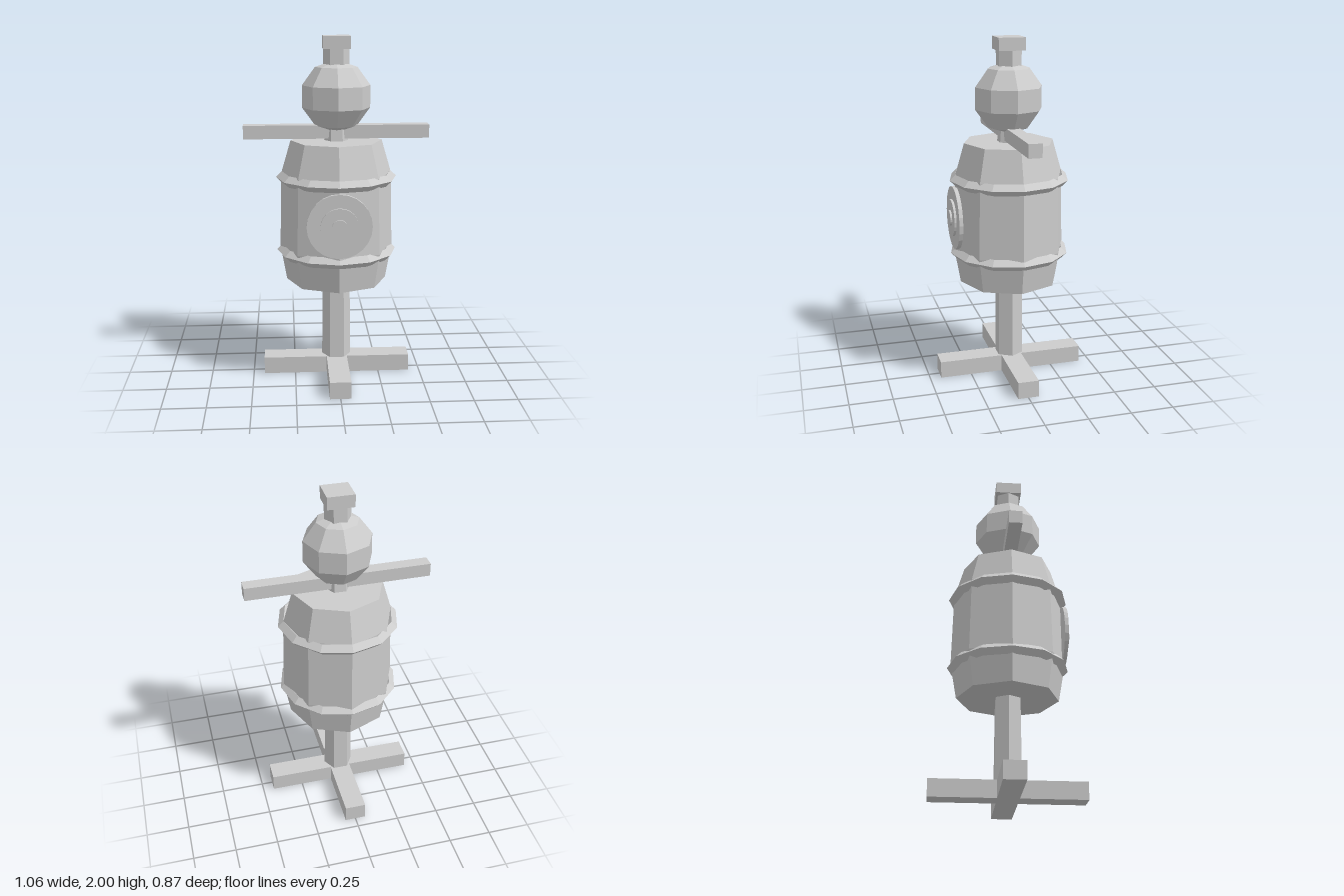
import * as THREE from 'three';

export function createModel() {
  const model = new THREE.Group();
  model.name = 'trainingDummy';
  const grey = new THREE.MeshStandardMaterial({ color: 0xcccccc, flatShading: true });
  grey.name = 'plainGrey';

  const add = (name, geometry, x = 0, y = 0, z = 0) => {
    const mesh = new THREE.Mesh(geometry, grey);
    mesh.name = name;
    mesh.position.set(x, y, z);
    model.add(mesh);
    return mesh;
  };
  // Beam centred on the axis, standing on height y
  const beam = (name, w, h, d, y) => add(name, new THREE.BoxGeometry(w, h, d), 0, y + h / 2, 0);
  // Six-sided post with a corner pointing along x
  const post = (name, rTop, rBottom, y0, y1) => {
    const g = new THREE.CylinderGeometry(rTop, rBottom, y1 - y0, 6).rotateY(Math.PI / 6);
    return add(name, g, 0, (y0 + y1) / 2, 0);
  };

  // Crossed feet and pole
  beam('footBeamSide', 0.87, 0.1, 0.122, 0);
  beam('footBeamFront', 0.122, 0.1, 0.87, 0);
  post('pole', 0.08, 0.086, 0.09, 0.6);

  // Eight-sided barrel body
  const profile = [[0, 0.58], [0.293, 0.58], [0.329, 0.785], [0.318, 1.222], [0.263, 1.41], [0, 1.41]];
  add('barrelBody', new THREE.LatheGeometry(profile.map(([r, y]) => new THREE.Vector2(r, y)), 8));

  // Twelve-sided hoops with a diamond section
  for (const [name, y] of [['lowerHoop', 0.762], ['upperHoop', 1.197]]) {
    add(name, new THREE.TorusGeometry(0.316, 0.033, 4, 12).rotateX(Math.PI / 2), 0, y, 0);
  }

  // Stepped round target on the chest
  const discs = [['targetOuter', 0.183, 0.312, 0.334], ['targetMiddle', 0.107, 0.33, 0.347], ['targetCentre', 0.045, 0.34, 0.358]];
  for (const [name, r, z0, z1] of discs) {
    add(name, new THREE.CylinderGeometry(r, r, z1 - z0, 24).rotateX(Math.PI / 2), 0, 0.977, (z0 + z1) / 2);
  }

  // Neck, arms and head
  post('neck', 0.06, 0.07, 1.4, 1.5);
  beam('armBeam', 1.064, 0.077, 0.076, 1.423);
  add('head', new THREE.SphereGeometry(0.205, 8, 5), 0, 1.66, 0);

  // Topknot
  post('topPost', 0.075, 0.075, 1.82, 1.935);
  beam('topBlock', 0.154, 0.072, 0.154, 1.928);

  return model;
}
